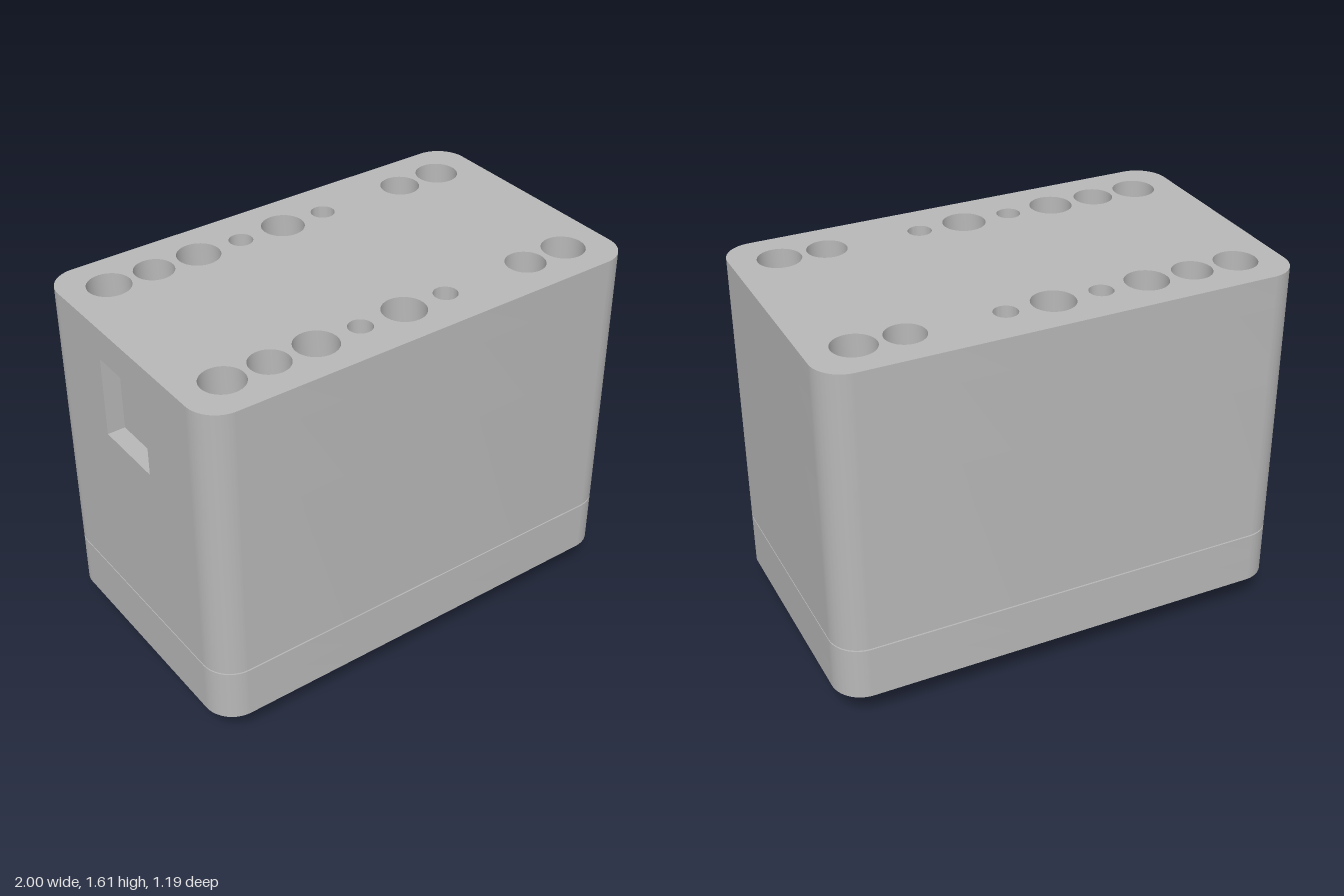
import * as THREE from 'three';
import { toCreasedNormals } from 'three/addons/utils/BufferGeometryUtils.js';

const HALF_X = 1, HALF_Z = 0.595, CORNER = 0.13;
const ROW = 0.405;           // z of the two hole rows
const BOLTS = [-0.61, 0.605]; // x of the assembly bolts

// One hole: plan position, radius, number of sides
const hole = (x, z, r, sides = 40) => ({ x, z, r, sides });
const bothRows = (x, r, sides) => [hole(x, -ROW, r, sides), hole(x, ROW, r, sides)];

function holePath({ x, z, r, sides }) {
  const points = [];
  for (let i = 0; i < sides; i++) {
    const a = -(i / sides) * Math.PI * 2;
    points.push(new THREE.Vector2(x + r * Math.cos(a), -z + r * Math.sin(a)));
  }
  return new THREE.Path(points);
}

function circleShape(x, z, r) {
  return new THREE.Shape().absarc(x, -z, r, 0, Math.PI * 2, false);
}

// Rounded rectangle in plan, optionally notched in the -x side
function blockOutline(notch) {
  const a = HALF_X - CORNER, b = HALF_Z - CORNER;
  const s = new THREE.Shape();
  s.absarc(a, -b, CORNER, -Math.PI / 2, 0, false);
  s.absarc(a, b, CORNER, 0, Math.PI / 2, false);
  s.absarc(-a, b, CORNER, Math.PI / 2, Math.PI, false);
  if (notch) {
    s.lineTo(-HALF_X, notch.halfWidth);
    s.lineTo(-HALF_X + notch.depth, notch.halfWidth);
    s.lineTo(-HALF_X + notch.depth, -notch.halfWidth);
    s.lineTo(-HALF_X, -notch.halfWidth);
  }
  s.absarc(-a, -b, CORNER, Math.PI, Math.PI * 1.5, false);
  s.closePath();
  return s;
}

// Extrude a plan shape with holes from y0 up to y1
function slab(name, shape, holes, y0, y1, material) {
  shape.holes = holes.map(holePath);
  const geo = new THREE.ExtrudeGeometry(shape, { depth: y1 - y0, bevelEnabled: false, curveSegments: 24 });
  geo.rotateX(-Math.PI / 2);
  geo.translate(0, y0, 0);
  const mesh = new THREE.Mesh(toCreasedNormals(geo, 0.5), material);
  mesh.name = name;
  return mesh;
}

export function createModel() {
  const model = new THREE.Group();
  model.name = 'gearMotorHousing';
  const grey = new THREE.MeshStandardMaterial({ color: 0xb8b8b8 });
  grey.name = 'grey';

  // Holes that run through the whole block
  const through = [
    ...[-0.81, -0.405, 0, 0.805].flatMap((x) => bothRows(x, 0.09)),
    ...[-0.205, 0.2].flatMap((x) => bothRows(x, 0.05)),
  ];
  const boltShanks = BOLTS.flatMap((x) => bothRows(x, 0.05));
  const boltHeads = BOLTS.flatMap((x) => bothRows(x, 0.083));
  const hexPockets = BOLTS.flatMap((x) => bothRows(x, 0.085, 6));

  // Upper case, with a window recess in the -x side
  const upper = new THREE.Group();
  upper.name = 'upperCase';
  const notch = { halfWidth: 0.16, depth: 0.076 };
  upper.add(
    slab('caseBody', blockOutline(), [...through, ...boltShanks], 0.386, 1.125, grey),
    slab('caseWindowBand', blockOutline(notch), [...through, ...boltHeads], 1.125, 1.472, grey),
    slab('caseTop', blockOutline(), [...through, ...boltHeads], 1.472, 1.61, grey),
  );
  model.add(upper);

  // Base plate with mounting holes, nut pockets and the output opening
  const mounting = [
    ...through,
    hole(0.4, 0, 0.335, 64),
    hole(-0.2, 0, 0.05), hole(-0.61, 0, 0.05),
  ];
  for (const side of [-1, 1]) {
    for (const x of [0.795, -0.53]) mounting.push(hole(x, side * 0.143, 0.075));
    for (const x of [-0.81, -0.2, 0]) mounting.push(hole(x, side * 0.2, 0.05));
  }
  const base = new THREE.Group();
  base.name = 'basePlate';
  base.add(
    slab('baseLower', blockOutline(), [...mounting, ...hexPockets], 0.15, 0.26, grey),
    slab('baseUpper', blockOutline(), [...mounting, ...boltShanks], 0.26, 0.38, grey),
  );
  model.add(base);

  // Thin spacers around the bolts, in the gap between base and case
  for (const x of BOLTS) {
    for (const z of [-ROW, ROW]) {
      model.add(slab('boltSpacer', circleShape(x, z, 0.11), [hole(x, z, 0.05)], 0.38, 0.386, grey));
    }
  }

  // Round output hub under the base
  const hubHoles = [hole(0.4, 0, 0.085)];
  for (let i = 0; i < 4; i++) {
    const a = (i * Math.PI) / 2;
    hubHoles.push(hole(0.4 + 0.2 * Math.cos(a), 0.2 * Math.sin(a), 0.045));
  }
  for (const side of [-1, 1]) hubHoles.push(hole(0.4 + side * 0.125, side * 0.125, 0.085));
  model.add(slab('outputHub', circleShape(0.4, 0, 0.32), hubHoles, 0, 0.37, grey));

  return model;
}
